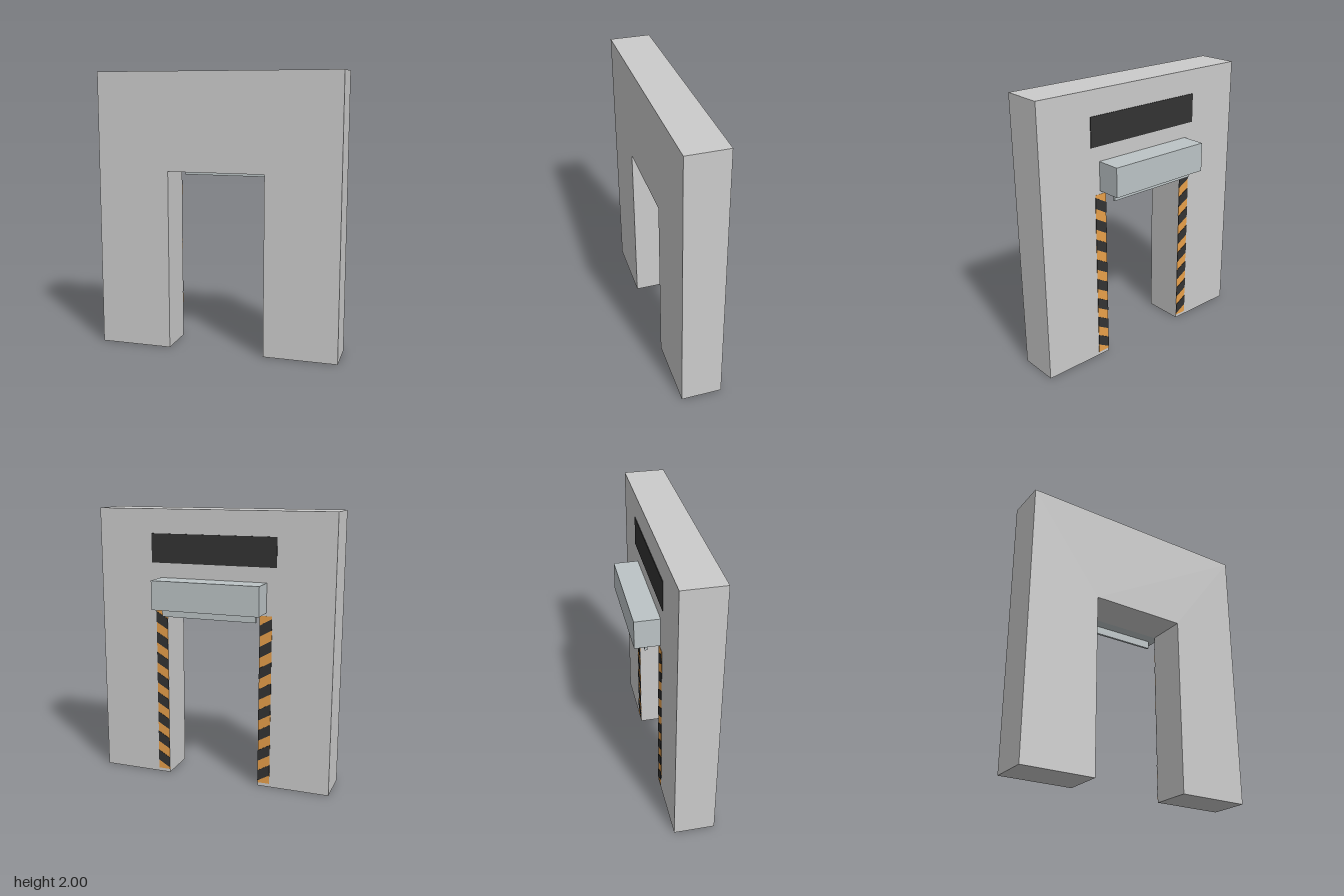
import * as THREE from 'three';

const mat = (color) => new THREE.MeshStandardMaterial({ color });
const wallMat = mat(0xcccccc), housingMat = mat(0xbcc4c6), darkMat = mat(0x333333);
const hazardMat = mat(0xe8a04a), sensorMat = mat(0x2a9db0);

const BACK = -0.058;   // rear face of the wall
const OPEN = 0.352;    // half width of the doorway

// Box given by its limits on each axis
function box(name, material, [x0, x1], [y0, y1], [z0, z1]) {
  const mesh = new THREE.Mesh(new THREE.BoxGeometry(x1 - x0, y1 - y0, z1 - z0), material);
  mesh.position.set((x0 + x1) / 2, (y0 + y1) / 2, (z0 + z1) / 2);
  mesh.name = name;
  return mesh;
}

function extrude(name, material, points, z0, z1) {
  const shape = new THREE.Shape(points.map(([x, y]) => new THREE.Vector2(x, y)));
  const geometry = new THREE.ExtrudeGeometry(shape, { depth: z1 - z0, bevelEnabled: false });
  geometry.translate(0, 0, z0);
  const mesh = new THREE.Mesh(geometry, material);
  mesh.name = name;
  return mesh;
}

// Orange strip with slanted dark bands falling toward the doorway
function hazardStrip(name, side) {
  const group = new THREE.Group();
  group.name = name;
  const inner = OPEN, outer = OPEN + 0.09;
  const xs = [side * inner, side * outer].sort((a, b) => a - b);
  group.add(box('stripBase', hazardMat, xs, [0.025, 1.275], [BACK - 0.002, BACK]));
  const pitch = 0.155, height = 0.08, rise = 0.052;
  for (let i = 0; i < 8; i++) {
    const y = 0.04 + i * pitch;
    group.add(extrude('darkBand', darkMat, [
      [side * inner, y], [side * outer, y + rise],
      [side * outer, y + rise + height], [side * inner, y + height],
    ], BACK - 0.005, BACK));
  }
  return group;
}

export function createModel() {
  const model = new THREE.Group();
  model.name = 'doorway';

  // Wall with the doorway cut out
  model.add(extrude('wall', wallMat, [
    [-0.882, 0], [-OPEN, 0], [-OPEN, 1.298], [OPEN, 1.298],
    [OPEN, 0], [0.882, 0], [0.882, 2], [-0.882, 2],
  ], BACK, 0.236));

  // Dark sign panel above the door
  model.add(box('signPanel', darkMat, [-0.47, 0.47], [1.615, 1.825], [BACK - 0.005, BACK]));

  // Shutter housing, the shutter's lower edge and its sensor bar
  model.add(box('shutterHousing', housingMat, [-0.4, 0.4], [1.298, 1.508], [-0.236, BACK]));
  model.add(box('shutterEdge', housingMat, [-OPEN, OPEN], [1.24, 1.298], [-0.156, -0.138]));
  model.add(box('sensorBar', sensorMat, [-OPEN, OPEN], [1.287, 1.298], [-0.18, -0.17]));

  // Hazard strips beside the doorway
  model.add(hazardStrip('leftHazardStrip', 1), hazardStrip('rightHazardStrip', -1));
  return model;
}
